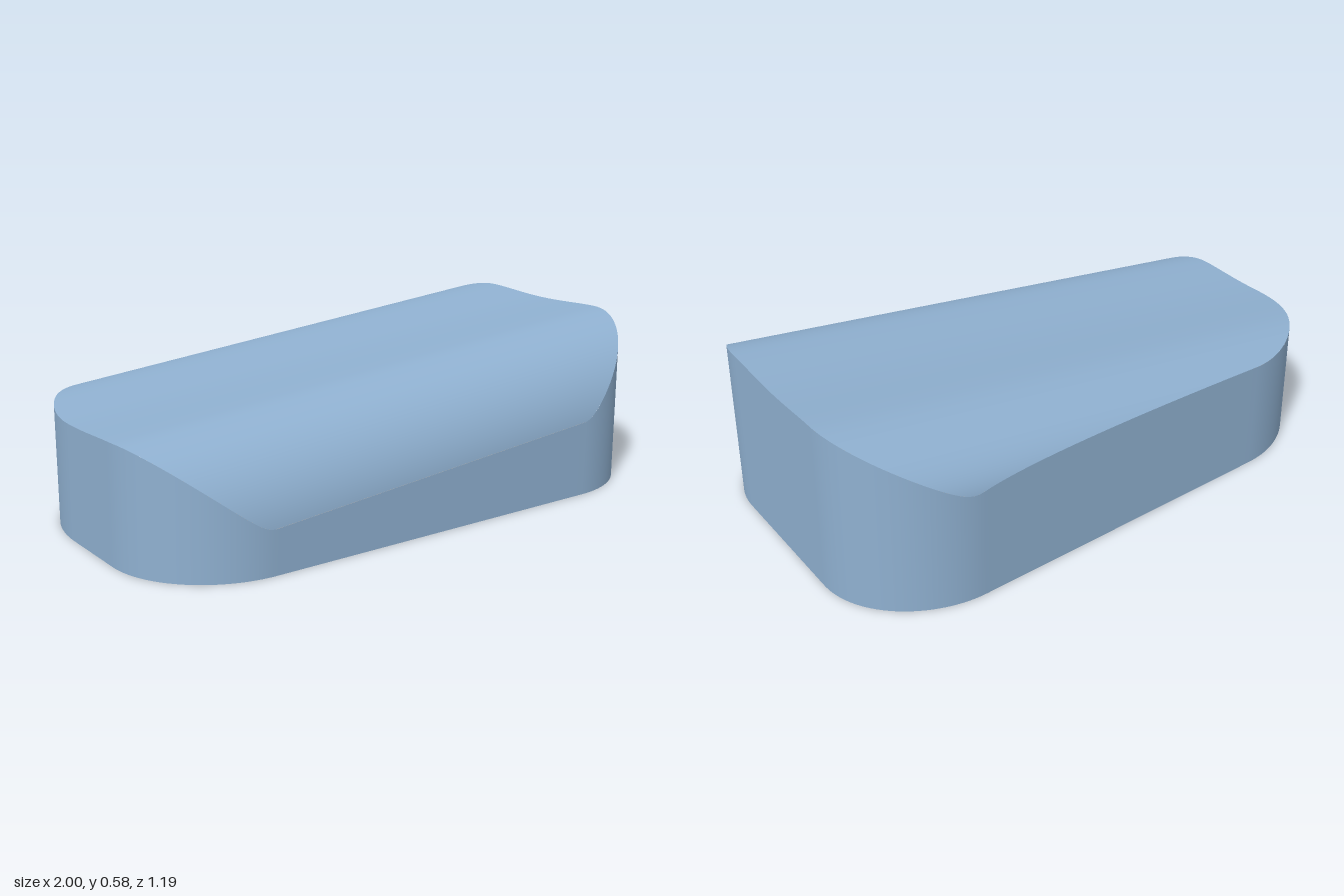
import * as THREE from 'three';

// Plan outline (x, z), counter-clockwise seen from above, starting at the front edge
function planOutline() {
  const s = new THREE.Shape();
  s.moveTo(-0.63, 0.597);
  s.lineTo(0.65, 0.597);
  s.bezierCurveTo(0.84, 0.597, 1, 0.45, 1, 0.27);
  s.lineTo(1, -0.27);
  s.bezierCurveTo(1, -0.47, 0.8, -0.613, 0.6, -0.595);
  s.lineTo(-0.58, -0.492);
  s.bezierCurveTo(-0.81, -0.472, -1, -0.27, -1, -0.02);
  s.lineTo(-1, 0.25);
  s.bezierCurveTo(-1, 0.44, -0.83, 0.597, -0.63, 0.597);
  return s.getSpacedPoints(320).slice(0, -1);
}

// Sloping top: a shallow trough in the middle, rounded shoulders front and back
function topHeight(x, z) {
  const ridge = 0.49 + 0.09 * x;
  const a = Math.abs(z);
  if (a < 0.28) return ridge - 0.01 * (1 - (a / 0.28) ** 2) ** 2;
  const t = Math.min(1, (a - 0.28) / 0.32);
  return ridge - (z > 0 ? 0.33 : 0.2) * (1 - Math.sqrt(1 - t * t));
}

// Left and right ends of the outline at a given z
function span(outline, z) {
  let lo = Infinity, hi = -Infinity;
  outline.forEach((p, i) => {
    const q = outline[(i + 1) % outline.length];
    if ((p.y - z) * (q.y - z) > 0 || p.y === q.y) return;
    const x = p.x + (q.x - p.x) * (z - p.y) / (q.y - p.y);
    lo = Math.min(lo, x);
    hi = Math.max(hi, x);
  });
  return [lo, hi];
}

function surface(positions, index) {
  const g = new THREE.BufferGeometry();
  g.setAttribute('position', new THREE.Float32BufferAttribute(positions, 3));
  g.setIndex(index);
  g.computeVertexNormals();
  return g;
}

export function createModel() {
  const group = new THREE.Group();
  group.name = 'slopedBlock';
  const blue = new THREE.MeshStandardMaterial({ color: 0x8fb0d0 });
  blue.name = 'softBlue';
  const add = (name, geometry) => {
    const mesh = new THREE.Mesh(geometry, blue);
    mesh.name = name;
    group.add(mesh);
  };
  const outline = planOutline();
  const n = outline.length;

  // Side wall, rising from the floor to the curved top
  const wall = [], wallIndex = [];
  outline.forEach((p, i) => {
    wall.push(p.x, 0, p.y, p.x, topHeight(p.x, p.y), p.y);
    const b = 2 * i, c = 2 * ((i + 1) % n);
    wallIndex.push(b, c, c + 1, b, c + 1, b + 1);
  });
  add('sideWall', surface(wall, wallIndex));

  // Flat underside
  const base = [0, 0, 0], baseIndex = [];
  outline.forEach((p, i) => {
    base.push(p.x, 0, p.y);
    baseIndex.push(0, 1 + (i + 1) % n, 1 + i);
  });
  add('underside', surface(base, baseIndex));

  // Top surface, in rows across the block that crowd towards the front and back
  const zs = outline.map(p => p.y);
  const zMin = Math.min(...zs) + 1e-4, zMax = Math.max(...zs) - 1e-4;
  const rows = 140, cols = 12, top = [], topIndex = [];
  for (let j = 0; j <= rows; j++) {
    const z = zMin + (zMax - zMin) * (1 - Math.cos(Math.PI * j / rows)) / 2;
    const [lo, hi] = span(outline, z);
    for (let i = 0; i <= cols; i++) {
      const x = lo + (hi - lo) * i / cols;
      top.push(x, topHeight(x, z), z);
      if (i < cols && j < rows) {
        const a = j * (cols + 1) + i, b = a + cols + 1;
        topIndex.push(a, b, b + 1, a, b + 1, a + 1);
      }
    }
  }
  add('topSurface', surface(top, topIndex));
  return group;
}
